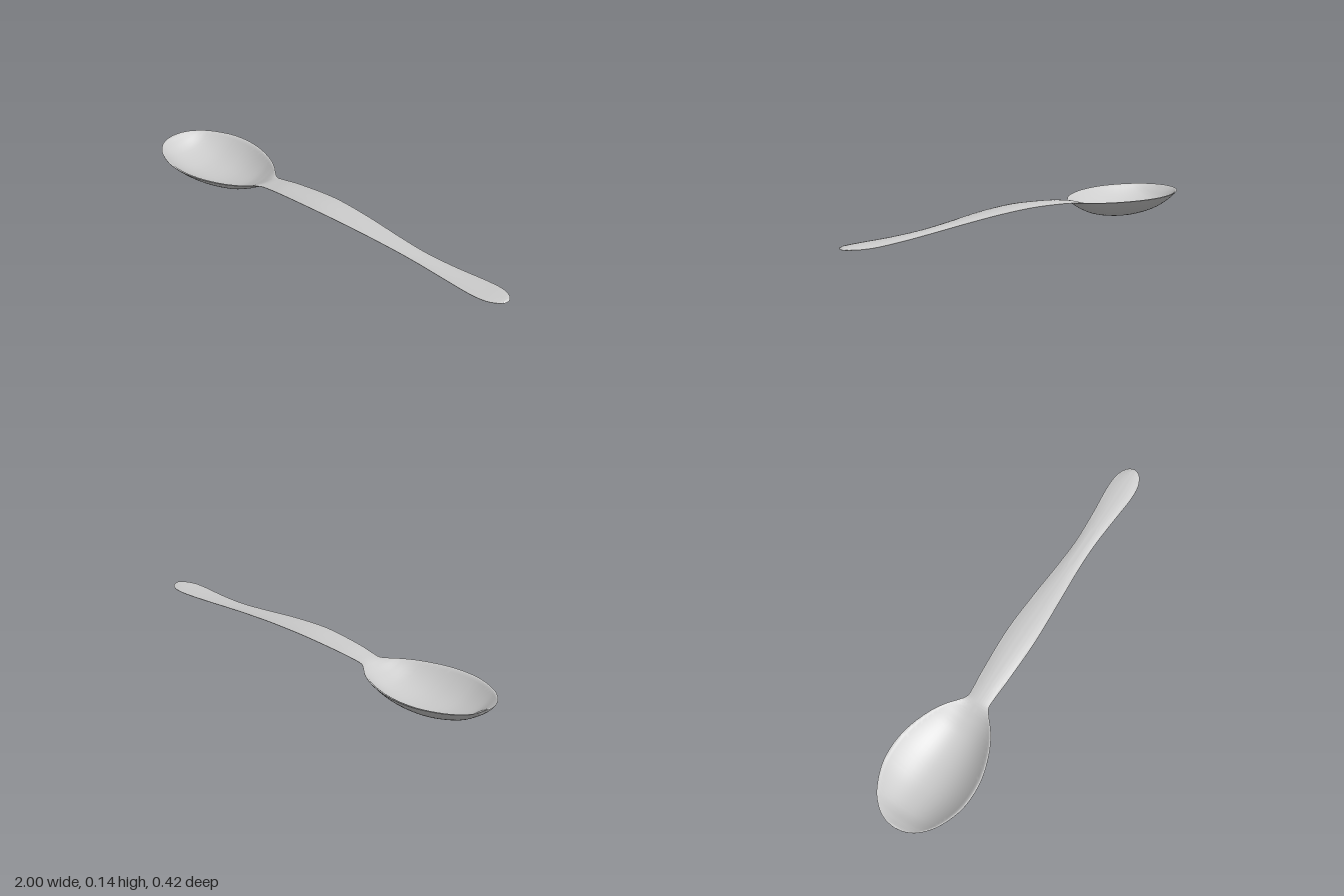
import * as THREE from 'three';
import { toCreasedNormals } from 'three/addons/utils/BufferGeometryUtils.js';

// Stations along the spoon: x, half width, edge height, top and bottom height on the centre line
const BOWL = [
  [-1, 0, 0.102, 0.102, 0.1],
  [-0.99, 0.053, 0.102, 0.1, 0.088],
  [-0.96, 0.104, 0.102, 0.081, 0.064],
  [-0.9, 0.155, 0.102, 0.046, 0.032],
  [-0.8, 0.197, 0.102, 0.02, 0.008],
  [-0.7, 0.208, 0.102, 0.012, 0],
  [-0.6, 0.195, 0.102, 0.016, 0.004],
  [-0.5, 0.16, 0.102, 0.035, 0.021],
  [-0.43, 0.12, 0.102, 0.064, 0.048],
  [-0.38, 0.079, 0.102, 0.09, 0.074],
];
const HANDLE = [
  [-0.345, 0.055, 0.103, 0.106, 0.091],
  [-0.3, 0.054, 0.109, 0.115, 0.102],
  [-0.2, 0.061, 0.12, 0.128, 0.113],
  [0, 0.068, 0.13, 0.138, 0.122],
  [0.2, 0.059, 0.123, 0.13, 0.115],
  [0.4, 0.046, 0.107, 0.114, 0.1],
  [0.55, 0.042, 0.095, 0.102, 0.088],
  [0.7, 0.05, 0.088, 0.095, 0.081],
  [0.85, 0.062, 0.086, 0.093, 0.077],
  [0.93, 0.058, 0.087, 0.094, 0.079],
  [0.975, 0.039, 0.088, 0.094, 0.082],
  [0.993, 0.02, 0.088, 0.093, 0.084],
  [1, 0, 0.088, 0.089, 0.087],
];
const STATIONS = [...BOWL, ...HANDLE];
const ACROSS = 28;
const ALONG = 200;

// Two smooth curves share one parameter: plan outline and centre-line heights
const outline = new THREE.CatmullRomCurve3(
  STATIONS.map(([x, w, e]) => new THREE.Vector3(x, w, e)), false, 'catmullrom', 0.5);
const heights = new THREE.CatmullRomCurve3(
  STATIONS.map(([x, , , top, bottom]) => new THREE.Vector3(x, top, bottom)), false, 'catmullrom', 0.5);

// Closed cross-section: over the top from -z to +z, then back underneath
function section(t) {
  const { x, y: w, z: edge } = outline.getPoint(t);
  const { y: top, z: bottom } = heights.getPoint(t);
  const points = [];
  for (const side of [1, -1]) {
    for (let j = 0; j <= ACROSS; j++) {
      const s = side * Math.sin((j / ACROSS - 0.5) * Math.PI);
      // The upper face keeps a narrow flat lip around the rim
      const inner = Math.min(1, Math.abs(s) / 0.96);
      const y = side > 0
        ? edge + (top - edge) * (1 - inner ** 2.2)
        : edge - 0.002 + (bottom - edge + 0.002) * (1 - Math.abs(s) ** 2.3);
      points.push(x, y, Math.max(0, w) * s);
    }
  }
  return points;
}

// Loft the cross-sections between two parameters
function loft(t0, t1, steps) {
  const positions = [];
  const index = [];
  const ring = 2 * (ACROSS + 1);
  for (let i = 0; i <= steps; i++) {
    positions.push(...section(t0 + (t1 - t0) * i / steps));
    if (i === steps) break;
    for (let j = 0; j < ring; j++) {
      const a = i * ring + j;
      const b = i * ring + (j + 1) % ring;
      index.push(a, b, a + ring, b, b + ring, a + ring);
    }
  }
  const geometry = new THREE.BufferGeometry();
  geometry.setAttribute('position', new THREE.Float32BufferAttribute(positions, 3));
  geometry.setIndex(index);
  return toCreasedNormals(geometry, 0.6);
}

export function createModel() {
  const group = new THREE.Group();
  group.name = 'spoon';
  const material = new THREE.MeshStandardMaterial({ color: 0xcccccc });
  const neck = BOWL.length / (STATIONS.length - 1);

  // Bowl, ending where the neck begins
  const bowl = new THREE.Mesh(loft(0, neck, ALONG / 2), material);
  bowl.name = 'bowl';

  // Arched handle with a rounded end
  const handle = new THREE.Mesh(loft(neck, 1, ALONG / 2), material);
  handle.name = 'handle';

  group.add(bowl, handle);
  return group;
}
